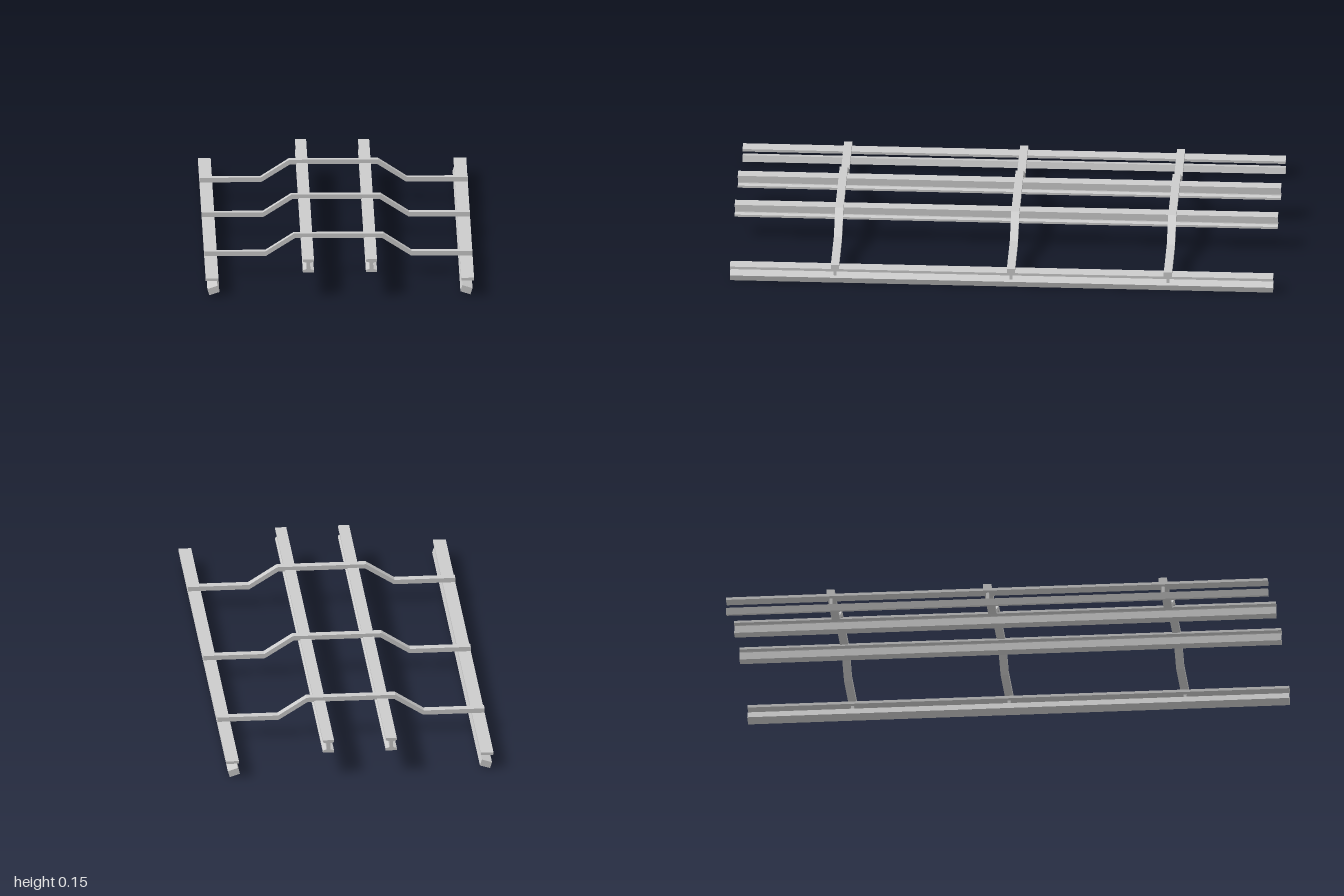
import * as THREE from 'three';

const LENGTH = 2;
const TIE_Z = [-0.613, -0.035, 0.613];
const TIE_DEPTH = 0.03;

export function createModel() {
  const group = new THREE.Group();
  group.name = 'railTrack';
  const material = new THREE.MeshStandardMaterial({ color: 0xcccccc, flatShading: true });

  const add = (name, geometry, x = 0, y = 0, z = 0) => {
    const mesh = new THREE.Mesh(geometry, material);
    mesh.name = name;
    mesh.position.set(x, y, z);
    group.add(mesh);
    return mesh;
  };

  // Extrude an x/y outline along z, centred on z = 0
  const extrude = (points, depth) => {
    const shape = new THREE.Shape(points.map(([x, y]) => new THREE.Vector2(x, y)));
    return new THREE.ExtrudeGeometry(shape, { depth, bevelEnabled: false }).translate(0, 0, -depth / 2);
  };
  // Complete a half outline by mirroring it in x
  const mirrored = (half) => [...half, ...half.map(([x, y]) => [-x, y]).reverse()];

  // Inner I-beams with tapered flanges
  const beam = extrude(mirrored([
    [0.0205, 0.086], [0.0205, 0.0945], [0.0075, 0.0985], [0.0065, 0.101],
    [0.0065, 0.12], [0.0075, 0.1225], [0.0205, 0.1265], [0.0205, 0.135],
  ]), LENGTH);

  // Bent cross ties
  const tie = extrude([
    [-0.4935, 0.064], [-0.267, 0.064], [-0.16, 0.131], [0.16, 0.131], [0.267, 0.064], [0.4935, 0.064],
    [0.4935, 0.081], [0.269, 0.081], [0.164, 0.148], [-0.164, 0.148], [-0.269, 0.081], [-0.4935, 0.081],
  ], TIE_DEPTH);
  for (const z of TIE_Z) add('crossTie', tie, 0, 0, z);

  for (const side of [1, -1]) {
    const label = side > 0 ? 'left' : 'right';
    add(label + 'InnerBeam', beam, side * 0.116);

    // Flat upper plate of the outer rail
    add(label + 'OuterPlate', new THREE.BoxGeometry(0.047, 0.01, LENGTH), side * 0.47, 0.059);

    // Tilted running rail beneath it
    const rail = add(label + 'RunningRail', new THREE.BoxGeometry(0.039, 0.0245, LENGTH), side * 0.4655, 0.0188);
    rail.rotation.z = -side * 0.31;

    // Thin hanger posts under every tie
    for (const z of TIE_Z) {
      add(label + 'HangerPost', new THREE.BoxGeometry(0.008, 0.035, 0.011), side * 0.471, 0.0395, z);
    }
  }
  return group;
}
